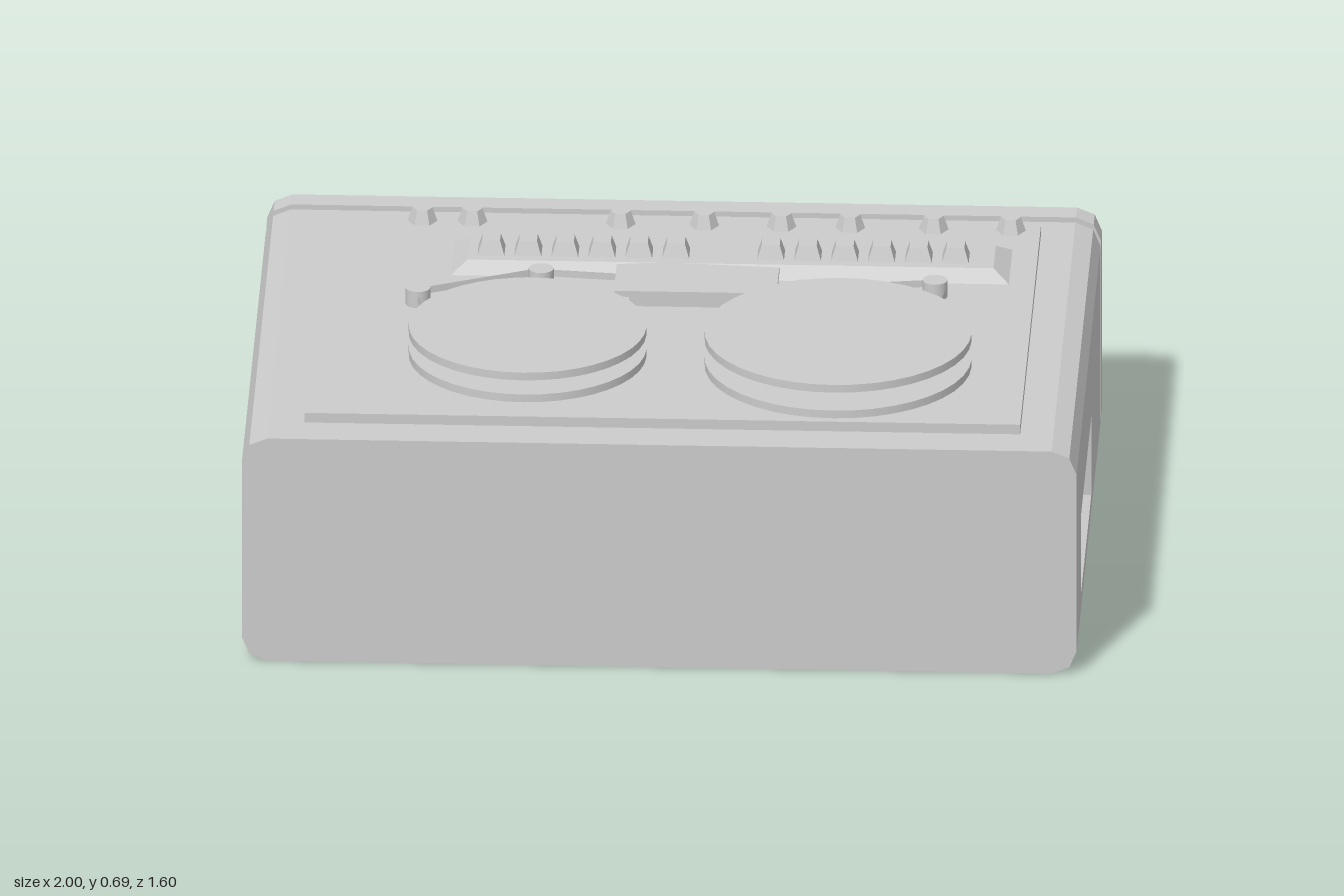
import * as THREE from 'three';
import { toCreasedNormals } from 'three/addons/utils/BufferGeometryUtils.js';

const grey = new THREE.MeshStandardMaterial({ color: 0xcccccc });
const flat = new THREE.MeshStandardMaterial({ color: 0xcccccc, flatShading: true });
const thin = new THREE.MeshStandardMaterial({ color: 0xcccccc, side: THREE.DoubleSide });

// Moves every vertex by a rule and refreshes the normals
function warp(geo, rule) {
  const p = geo.attributes.position, v = new THREE.Vector3();
  for (let i = 0; i < p.count; i++) {
    rule(v.fromBufferAttribute(p, i));
    p.setXYZ(i, v.x, v.y, v.z);
  }
  geo.computeVertexNormals();
  return geo;
}

// Box tapering to a smaller top, standing on y = 0
const frustum = (w, d, topW, topD, h) => warp(new THREE.BoxGeometry(w, h, d), (v) => {
  if (v.y > 0) { v.x *= topW / w; v.z *= topD / d; }
  v.y += h / 2;
});

// Case section; an optional notch leaves room for the side panel
function caseSection(inset, notch) {
  const X = 1 - inset, B = inset, T = 0.58 - inset, r = 0.06, q = Math.PI / 2;
  const s = new THREE.Shape();
  s.moveTo(-X + r, B);
  s.lineTo(X - r, B);
  s.absarc(X - r, B + r, r, -q, 0);
  if (notch) { s.lineTo(X - notch, B + r); s.lineTo(X - notch, T - r); }
  s.absarc(X - r, T - r, r, 0, q);
  s.absarc(-X + r, T - r, r, q, 2 * q);
  s.absarc(-X + r, B + r, r, 2 * q, 3 * q);
  return s;
}

const extrude = (shape, z0, z1, curveSegments = 1) =>
  new THREE.ExtrudeGeometry(shape, { depth: z1 - z0, bevelEnabled: false, curveSegments }).translate(0, 0, z0);

const polygon = (pts) => new THREE.Shape(pts.map(([x, y]) => new THREE.Vector2(x, y)));

export function createModel() {
  const model = new THREE.Group();
  const add = (name, geo, x = 0, y = 0, z = 0, mat = grey, parent = model) => {
    const m = new THREE.Mesh(geo, mat);
    m.name = name;
    m.position.set(x, y, z);
    parent.add(m);
    return m;
  };
  const group = (name, x = 0, y = 0, z = 0) => {
    const g = new THREE.Group();
    g.name = name;
    g.position.set(x, y, z);
    model.add(g);
    return g;
  };

  // Case, groove and back cover
  add('caseBody', extrude(caseSection(0, 0.1), -0.57, 0.8));
  add('grooveCore', extrude(caseSection(0.025), -0.6, -0.57));
  add('backCover', extrude(caseSection(0), -0.66, -0.6));

  // Left side panel with a tapered hand recess
  const side = polygon([[-0.8, 0.06], [0.57, 0.06], [0.57, 0.52], [-0.8, 0.52]]);
  side.holes.push(polygon([[-0.54, 0.1], [-0.54, 0.305], [0.04, 0.305], [0.04, 0.1]]));
  add('sidePanelWithHandRecess', warp(extrude(side, 0, 0.1).rotateY(Math.PI / 2).translate(0.9, 0, 0), (v) => {
    if (v.x < 0.95 && Math.abs(v.z - 0.25) < 0.32 && Math.abs(v.y - 0.2) < 0.12) {
      v.z -= 0.025 * Math.sign(v.z - 0.25);
      v.y -= 0.02 * Math.sign(v.y - 0.2);
    }
  }));

  // Deck plate and control strip
  add('deckPlate', new THREE.BoxGeometry(1.715, 0.025, 1.21), 0.003, 0.5925, 0.095);
  add('buttonStrip', frustum(1.34, 0.21, 1.26, 0.135, 0.027), 0.13, 0.604, -0.24);
  const button = frustum(0.065, 0.065, 0.043, 0.043, 0.036);
  for (const start of [-0.445, 0.225]) {
    for (let i = 0; i < 6; i++) add('pushButton', button, start + i * 0.0885, 0.63, -0.23);
  }
  const hex = new THREE.CylinderGeometry(0.024, 0.036, 0.036, 6).rotateY(Math.PI / 6);
  for (const x of [-0.62, -0.5, -0.145, 0.055, 0.24, 0.405, 0.605, 0.79]) {
    add('hexKnob', hex, x, 0.622, -0.46, flat);
  }

  // Reels: lower flange, hub with wound tape, upper flange
  const reel = (name, x, z, r, hubR, top) => {
    const g = group(name, x, 0, z);
    const disc = (part, rad, y0, y1) =>
      add(part, new THREE.CylinderGeometry(rad, rad, y1 - y0, 40), 0, (y0 + y1) / 2, 0, grey, g);
    disc('lowerFlange', r, 0.605, 0.625);
    disc('hub', hubR, 0.625, top - 0.02);
    disc('upperFlange', r, top - 0.02, top);
  };
  reel('rightReel', -0.335, 0.33, 0.285, 0.2, 0.682);
  reel('leftReel', 0.41, 0.36, 0.32, 0.207, 0.692);

  // Head cover on its block
  const cover = polygon([[-0.14, -0.055], [0.25, -0.055], [0.25, 0.1], [-0.02, 0.12], [-0.14, 0.105]]);
  add('headCover', extrude(cover, 0.64, 0.655).rotateX(-Math.PI / 2));
  add('headBlock', new THREE.BoxGeometry(0.32, 0.04, 0.11), 0.055, 0.622, -0.025);

  // Guide posts
  const post = new THREE.CylinderGeometry(0.03, 0.03, 0.045, 16);
  for (const [x, z] of [[-0.61, 0.035], [-0.32, -0.09], [0.31, -0.02], [0.625, -0.06]]) {
    add('guidePost', post, x, 0.625, z);
  }

  // Tape runs between the reels, posts and heads
  const tape = (x0, z0, y0, x1, z1, y1) => {
    const h = 0.018, geo = new THREE.BufferGeometry();
    geo.setAttribute('position', new THREE.Float32BufferAttribute(
      [x0, y0, z0, x1, y1, z1, x1, y1 + h, z1, x0, y0 + h, z0], 3));
    geo.setIndex([0, 1, 2, 0, 2, 3]);
    geo.computeVertexNormals();
    add('tape', geo, 0, 0, 0, thin);
  };
  tape(-0.535, 0.33, 0.635, -0.61, 0.06, 0.618);
  tape(-0.6, 0.01, 0.618, -0.33, -0.115, 0.618);
  tape(-0.31, -0.11, 0.618, -0.12, -0.09, 0.618);
  tape(0.2, -0.06, 0.618, 0.31, 0.01, 0.618);
  tape(0.33, -0.04, 0.618, 0.61, -0.085, 0.618);
  tape(0.655, -0.06, 0.618, 0.615, 0.34, 0.64);

  // Connector housing: end and underside slope outward to the back cover
  const outline = () => polygon([[-0.37, 0.055], [0.91, 0.055], [0.93, 0.075], [0.93, 0.36], [0.91, 0.38], [-0.37, 0.38]]);
  const flare = (v) => {
    const t = (v.z + 0.8) / 0.14;
    if (v.x > 0.9) v.x += 0.04 * t;
    if (v.y < 0.076) v.y -= 0.04 * t;
  };
  const face = outline(), sockets = [0.67, 0.12, -0.2], lamps = [0.165, 0.275];
  const hole = (x, y, r) => face.holes.push(new THREE.Path().absarc(x, y, r, 0, Math.PI * 2, true));
  sockets.forEach((x) => hole(x, 0.22, 0.135));
  lamps.forEach((y) => hole(0.4, y, 0.04));
  add('housingFace', warp(extrude(face, -0.8, -0.73, 16), flare));
  add('housingBase', warp(extrude(outline(), -0.73, -0.66), flare));
  const plug = new THREE.CylinderGeometry(0.095, 0.095, 0.05, 32).rotateX(Math.PI / 2);
  sockets.forEach((x) => add('socketCore', plug, x, 0.22, -0.755));
  const lamp = new THREE.SphereGeometry(0.04, 20, 12).scale(1, 1, 0.8);
  lamps.forEach((y) => add('lamp', lamp, 0.4, y, -0.765));

  // Large selector dial with a diagonal grip
  const dial = group('selectorDial', -0.633, 0.27, -0.66);
  const rim = [[0.168, 0], [0.168, 0.053], [0.16, 0.06], [0.138, 0.06], [0.138, 0.035], [0, 0.035]]
    .map(([r, h]) => new THREE.Vector2(r, h));
  add('dialRim', toCreasedNormals(new THREE.LatheGeometry(rim, 40), 0.5).rotateX(-Math.PI / 2), 0, 0, 0, grey, dial);
  const grip = add('dialGrip', frustum(0.275, 0.06, 0.26, 0.04, 0.065).rotateX(-Math.PI / 2), 0, 0, -0.033, grey, dial);
  grip.rotation.z = Math.PI / 6;

  // Small knob
  const knob = group('smallKnob', -0.905, 0.18, -0.66);
  add('knobBase', new THREE.CylinderGeometry(0.052, 0.063, 0.032, 24).rotateX(-Math.PI / 2), 0, 0, -0.016, grey, knob);
  const knobGrip = add('knobGrip', frustum(0.09, 0.04, 0.08, 0.03, 0.025).rotateX(-Math.PI / 2), 0, 0, -0.03, grey, knob);
  knobGrip.rotation.z = Math.PI / 6;

  return model;
}
